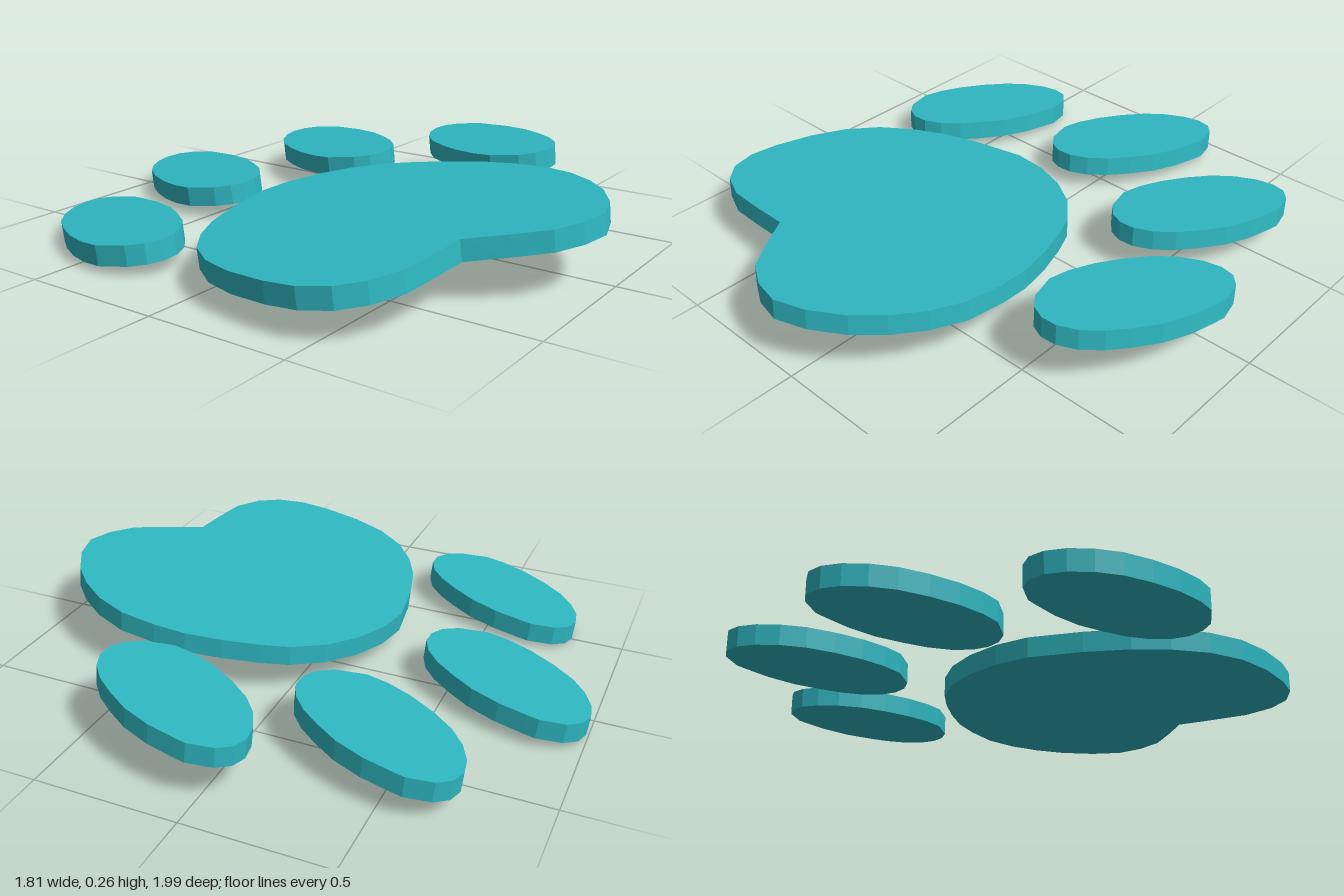
import * as THREE from 'three';

const THICKNESS = 0.07;
const SLOPE_X = 0.047, SLOPE_Z = 0.089; // the whole paw leans on a sloping plane

// Outlines as [x, z] pairs seen from above
const padOutline = [
  [-0.196, -0.25], [-0.07, -0.232], [0.053, -0.183], [0.16, -0.11], [0.243, -0.013], [0.286, 0.08],
  [0.328, 0.2], [0.358, 0.325], [0.363, 0.44], [0.352, 0.575], [0.305, 0.695], [0.236, 0.795],
  [0.153, 0.877], [0.042, 0.946], [-0.07, 0.98], [-0.17, 0.957], [-0.26, 0.905], [-0.34, 0.805],
  [-0.423, 0.688], [-0.56, 0.682], [-0.693, 0.672], [-0.8, 0.625], [-0.868, 0.556], [-0.903, 0.458],
  [-0.903, 0.347], [-0.878, 0.2], [-0.83, 0.07], [-0.75, -0.04], [-0.645, -0.12], [-0.53, -0.177], [-0.38, -0.22],
];
const toeOutline = [
  [0.116, -0.311], [0.169, -0.296], [0.206, -0.254], [0.228, -0.169], [0.222, -0.127], [0.204, -0.03],
  [0.168, 0.07], [0.118, 0.152], [0.068, 0.22], [0.01, 0.272], [-0.053, 0.3], [-0.11, 0.3], [-0.16, 0.276],
  [-0.2, 0.228], [-0.23, 0.127], [-0.219, 0.05], [-0.187, -0.04], [-0.138, -0.13], [-0.08, -0.21],
  [-0.016, -0.265], [0.053, -0.3],
];
const toes = [
  ['outerLeftToe', -0.62, -0.51],
  ['innerLeftToe', -0.01, -0.69],
  ['innerRightToe', 0.493, -0.423],
  ['outerRightToe', 0.673, 0.185],
];

export function createModel() {
  const group = new THREE.Group();
  group.name = 'paw';
  const material = new THREE.MeshStandardMaterial({ color: 0x2fb8c2 });

  // Lays the flat outlines onto the sloping plane
  const slope = new THREE.Matrix4().makeBasis(
    new THREE.Vector3(1, SLOPE_X, 0),
    new THREE.Vector3(-SLOPE_X, 1, -SLOPE_Z),
    new THREE.Vector3(0, SLOPE_Z, 1),
  ).setPosition(0.003, 0.094, 0.006);

  function addPlate(name, outline, cx, cz) {
    const shape = new THREE.Shape(outline.map(([x, z]) => new THREE.Vector2(x + cx, -z - cz)));
    const geometry = new THREE.ExtrudeGeometry(shape, { depth: THICKNESS, bevelEnabled: false });
    geometry.rotateX(-Math.PI / 2).applyMatrix4(slope);
    const mesh = new THREE.Mesh(geometry, material);
    mesh.name = name;
    group.add(mesh);
  }

  addPlate('mainPad', padOutline, 0, 0);
  for (const [name, x, z] of toes) addPlate(name, toeOutline, x, z);
  return group;
}
